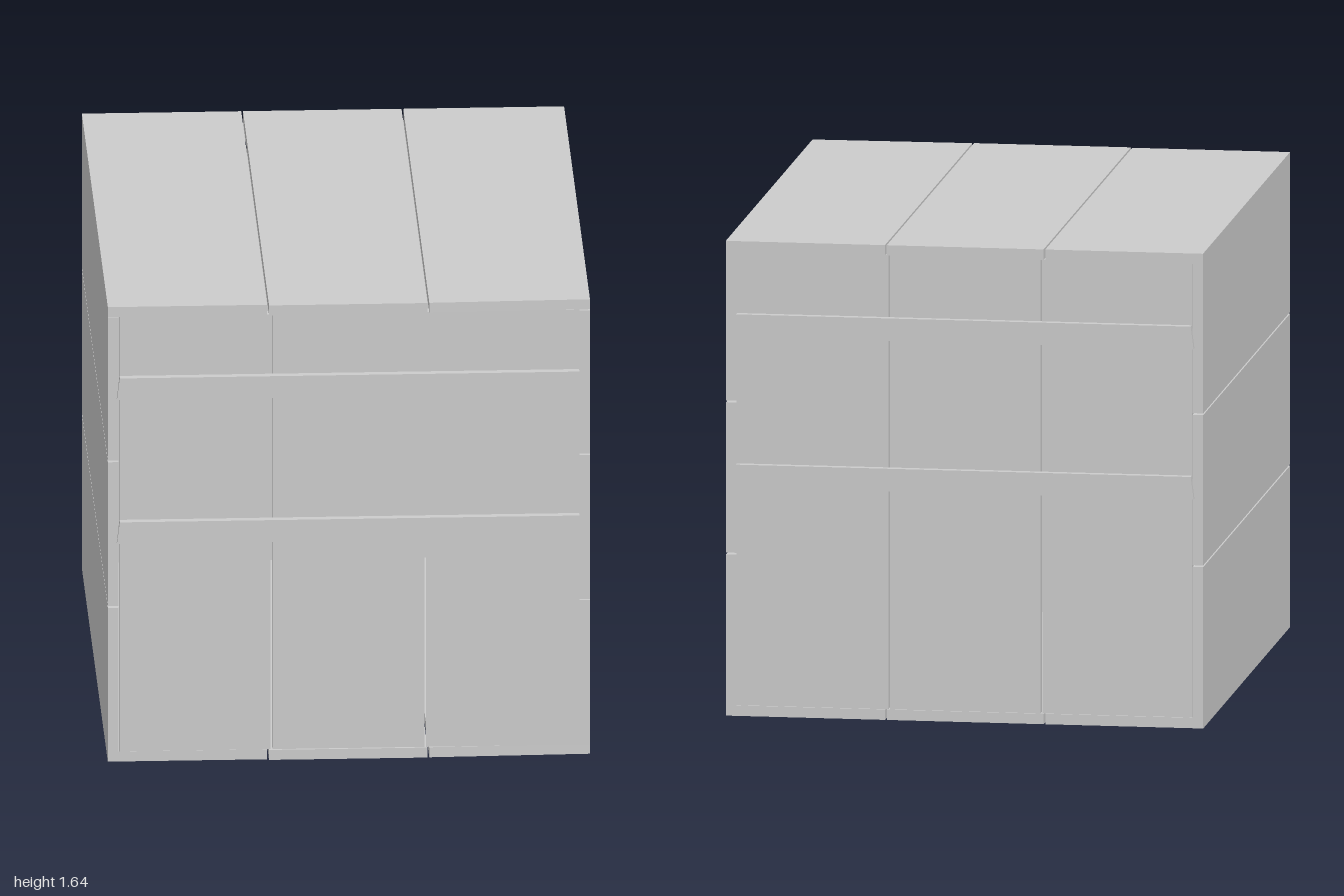
import * as THREE from 'three';

const material = new THREE.MeshStandardMaterial({ color: 0xcccccc, flatShading: true });

// A box given by its limits; shift(v) may move corners to make uneven cuts
function board(name, [x0, x1], [y0, y1], [z0, z1], shift) {
  const geo = new THREE.BoxGeometry(x1 - x0, y1 - y0, z1 - z0);
  geo.translate((x0 + x1) / 2, (y0 + y1) / 2, (z0 + z1) / 2);
  if (shift) {
    const pos = geo.attributes.position;
    const v = new THREE.Vector3();
    for (let i = 0; i < pos.count; i++) {
      v.fromBufferAttribute(pos, i);
      shift(v);
      pos.setXYZ(i, v.x, v.y, v.z);
    }
    geo.computeVertexNormals();
  }
  const mesh = new THREE.Mesh(geo, material);
  mesh.name = name;
  return mesh;
}

export function createModel() {
  const crate = new THREE.Group();
  crate.name = 'crate';
  const g = 0.003; // half of the gap between neighbouring boards
  const t = 0.036; // board thickness
  const H = 1.64, W = 0.82;

  // Lid and floor: three long boards each, the last one cut at a slant
  const xs = [-W, -0.275, 0.27, W];
  const ends = [0.978, 0.985, 0.983];
  for (let i = 0; i < 3; i++) {
    const x = [xs[i] + (i > 0 ? g : 0), xs[i + 1] - (i < 2 ? g : 0)];
    const slant = i === 2 ? (v) => { if (v.z > 0 && v.x > 0.5) v.z -= 0.012; } : undefined;
    crate.add(board('lidBoard', x, [H - t, H], [-0.985, ends[i]], slant));
    crate.add(board('floorBoard', x, [0, t], [-0.98, ends[i] - 0.003], slant));
  }

  // Side walls: three boards stacked on each side
  const ys = [t, 0.56, 1.085, H - t];
  for (const side of [-1, 1]) {
    const x = side > 0 ? [W - t, W] : [-W, -W + t];
    for (let i = 0; i < 3; i++) {
      const y = [ys[i] + (i > 0 ? g : 0), ys[i + 1] - (i < 2 ? g : 0)];
      const front = side > 0 && i === 0 ? 0.975 : 0.982;
      crate.add(board('sideBoard', x, y, [-0.98, front]));
    }
  }

  // End walls with upright boards and two battens across each
  const us = [-W + t, -0.263, 0.26, W - t];
  for (const end of [-1, 1]) {
    const range = (a, b) => (end > 0 ? [a, b] : [-b, -a]);
    for (let i = 0; i < 3; i++) {
      const x = [us[i] + g, us[i + 1] - (i < 2 ? g : 0)];
      crate.add(board(end > 0 ? 'frontBoard' : 'backBoard', x, [t, H - t], range(0.94, 0.974)));
    }
    for (const y of [0.793, 1.312]) {
      crate.add(board(end > 0 ? 'frontBatten' : 'backBatten', [-0.78, 0.783], [y, y + 0.078],
        range(0.974, 1), (v) => { if (v.x < 0 && v.y < y + 0.04) v.x -= 0.01; }));
    }
  }
  return crate;
}
